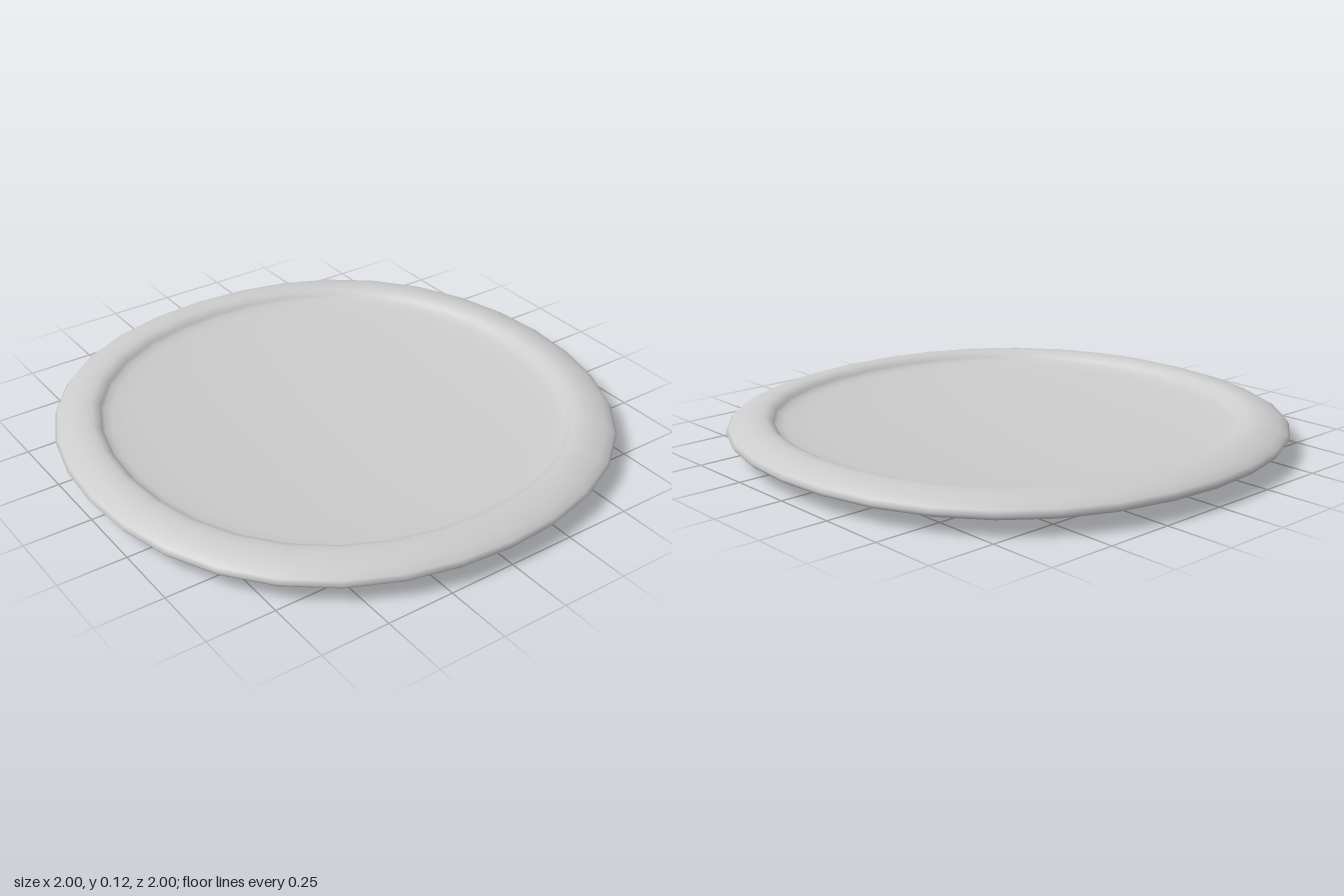
import * as THREE from 'three';
import { mergeVertices } from 'three/addons/utils/BufferGeometryUtils.js';

export function createModel() {
  const group = new THREE.Group();
  group.name = 'plate';

  // Closed cross-section: underside centre, rounded rim, inner wall, floor centre
  const profile = [
    [0, 0.005], [0.2, 0.006], [0.4, 0.011], [0.6, 0.018], [0.8, 0.03], [0.9, 0.04],
    [0.96, 0.053], [0.99, 0.066], [1, 0.08], [0.99, 0.095], [0.965, 0.11], [0.93, 0.122],
    [0.895, 0.128], [0.865, 0.127], [0.845, 0.119], [0.835, 0.107], [0.825, 0.097],
    [0.8, 0.089], [0.74, 0.081], [0.6, 0.07], [0.4, 0.06], [0.2, 0.055], [0, 0.053],
  ].map(([r, y]) => new THREE.Vector2(r, y));

  let body = new THREE.LatheGeometry(profile, 32);
  body.deleteAttribute('uv');
  body.deleteAttribute('normal');

  // The outline swells slightly on the diagonals
  const pos = body.attributes.position;
  for (let i = 0; i < pos.count; i++) {
    const x = pos.getX(i), z = pos.getZ(i);
    const swell = 1 + 0.027 * Math.sin(2 * Math.atan2(z, x)) ** 2;
    pos.setX(i, x * swell);
    pos.setZ(i, z * swell);
  }

  // Weld the seam so the shading is smooth all round
  body = mergeVertices(body, 1e-5);
  body.computeVertexNormals();

  const plate = new THREE.Mesh(body, new THREE.MeshStandardMaterial({ color: 0xcccccc }));
  plate.name = 'plateBody';
  group.add(plate);
  return group;
}
